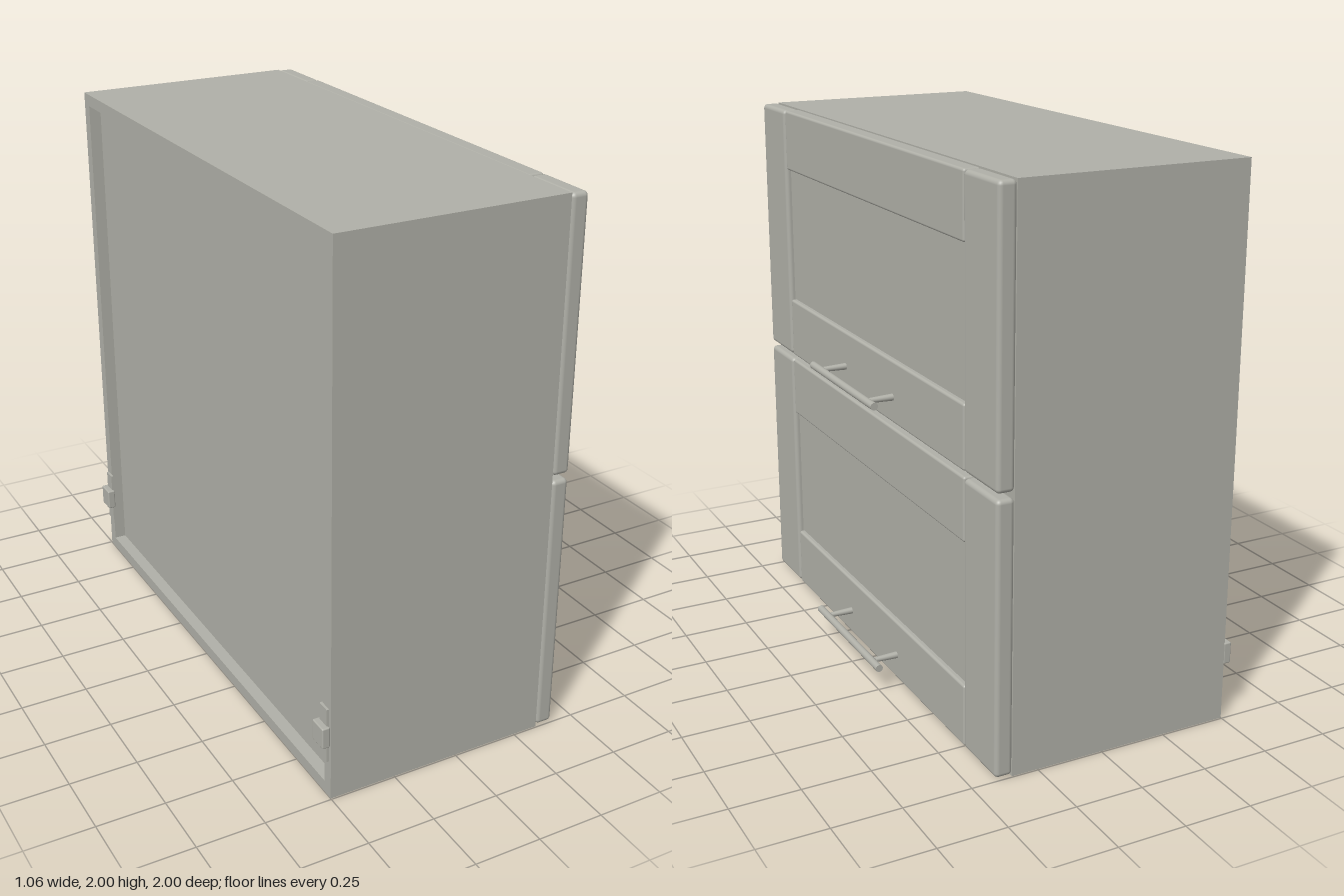
import * as THREE from 'three';
import { RoundedBoxGeometry } from 'three/addons/geometries/RoundedBoxGeometry.js';

export function createModel() {
  const model = new THREE.Group();
  model.name = 'wallCabinet';
  const grey = new THREE.MeshStandardMaterial({ color: 0xb0b0a8 });
  grey.name = 'warm grey';

  function add(parent, name, geometry, x = 0, y = 0, z = 0) {
    const mesh = new THREE.Mesh(geometry, grey);
    mesh.name = name;
    mesh.position.set(x, y, z);
    parent.add(mesh);
    return mesh;
  }
  // Block given by its limits on each axis, optionally with rounded edges
  function block(parent, name, [x0, x1], [y0, y1], [z0, z1], radius = 0) {
    const size = [x1 - x0, y1 - y0, z1 - z0];
    const geometry = radius
      ? new RoundedBoxGeometry(...size, 3, radius)
      : new THREE.BoxGeometry(...size);
    return add(parent, name, geometry, (x0 + x1) / 2, (y0 + y1) / 2, (z0 + z1) / 2);
  }

  // Carcass: side, top and bottom boards, middle shelf and recessed back
  const carcass = new THREE.Group();
  carcass.name = 'carcass';
  model.add(carcass);
  const t = 0.045, back = -0.5, front = 0.347;
  for (const s of [-1, 1]) {
    const inner = s * (0.995 - t), outer = s * 0.995;
    block(carcass, 'sideBoard', [back, front], [0, 2],
      [Math.min(inner, outer), Math.max(inner, outer)]);
  }
  const between = [t - 0.995, 0.995 - t];
  block(carcass, 'bottomBoard', [back, front], [0, t], between);
  block(carcass, 'topBoard', [back, front], [2 - t, 2], between);
  block(carcass, 'middleShelf', [back + 0.06, front], [0.98, 1.025], between);
  block(carcass, 'backPanel', [back + 0.045, back + 0.06], [t, 2 - t], between);

  // Framed flap door with a bar handle; bottom edge at y0
  function door(y0, y1) {
    const group = new THREE.Group();
    group.name = 'door';
    model.add(group);
    const x0 = 0.347, x1 = 0.412, rail = 0.23;
    block(group, 'leftStile', [x0, x1], [y0, y1], [0.767, 1], 0.016);
    block(group, 'rightStile', [x0, x1], [y0, y1], [-1, -0.767], 0.016);
    block(group, 'bottomRail', [x0, x1 - 0.003], [y0, y0 + rail], [-0.764, 0.764], 0.009);
    block(group, 'topRail', [x0, x1 - 0.003], [y1 - rail, y1], [-0.764, 0.764], 0.009);
    block(group, 'doorPanel', [x0 + 0.01, x1 - 0.022],
      [y0 + 0.012, y1 - 0.012], [-0.79, 0.79]);

    // Handle bar on two posts
    const handle = new THREE.Group();
    handle.name = 'handle';
    handle.position.set(0.51, y0 + 0.096, 0);
    group.add(handle);
    add(handle, 'handleBar', new THREE.CylinderGeometry(0.014, 0.014, 0.565, 20))
      .rotation.x = Math.PI / 2;
    for (const z of [-0.212, 0.212]) {
      add(handle, 'handlePost', new THREE.CylinderGeometry(0.009, 0.013, 0.11, 16), -0.053, 0, z)
        .rotation.z = -Math.PI / 2;
    }
  }
  door(0.008, 0.994);
  door(1.014, 1.998);

  // Hanging brackets on the rear edges
  for (const s of [-1, 1]) {
    const bracket = new THREE.Group();
    bracket.name = 'hangingBracket';
    bracket.position.set(-0.5, 0.25, s * 0.957);
    model.add(bracket);
    add(bracket, 'mountPlate', new THREE.BoxGeometry(0.01, 0.21, 0.05), -0.004, 0, 0);
    add(bracket, 'bracketBlock', new RoundedBoxGeometry(0.03, 0.08, 0.072, 2, 0.005), -0.016, 0, 0);
  }
  return model;
}
